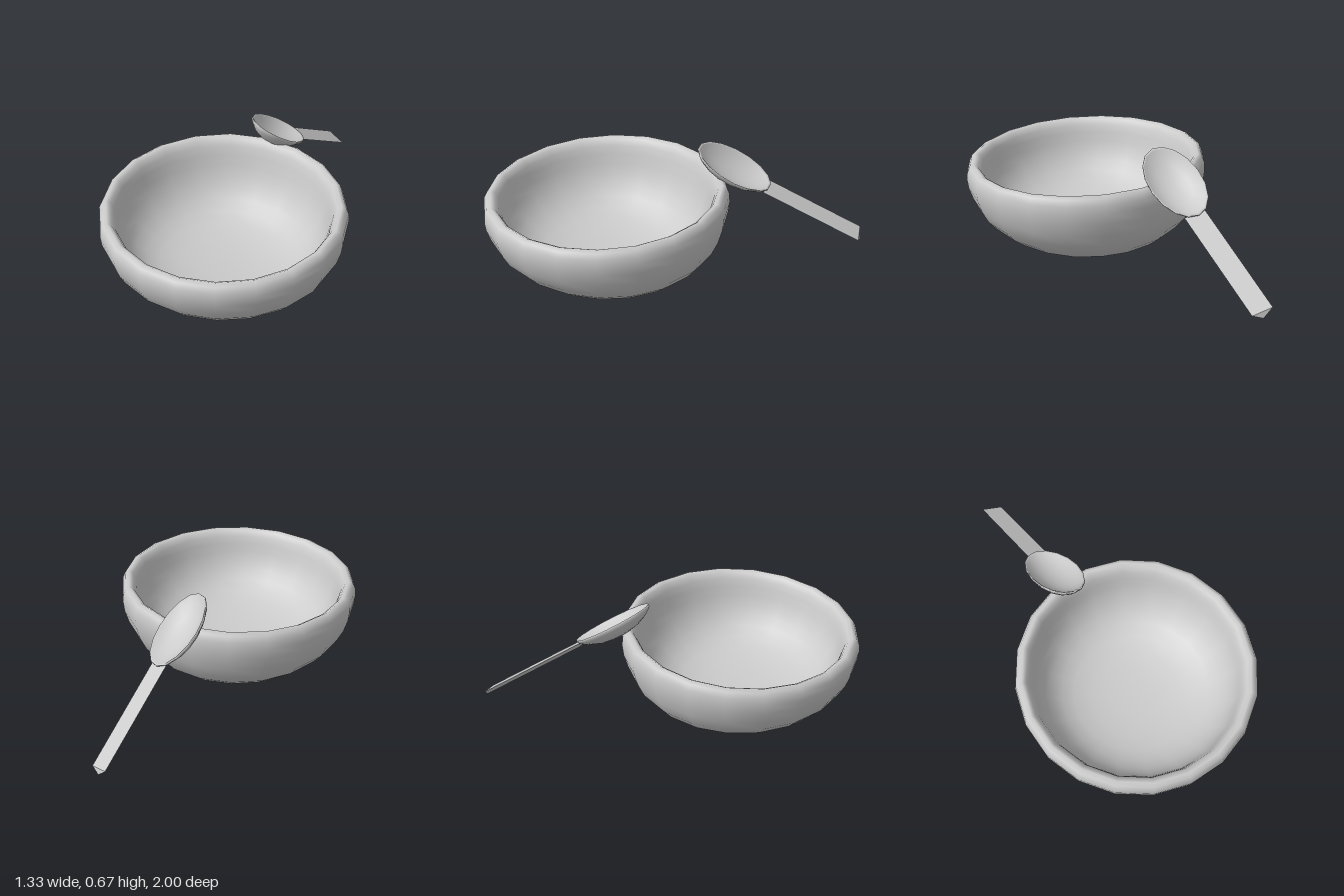
import * as THREE from 'three';
import { mergeVertices } from 'three/addons/utils/BufferGeometryUtils.js';

const material = new THREE.MeshStandardMaterial({ color: 0xcccccc });

// Smooth lathe of [radius, height] points, welded along its seam
function turned(points, sides) {
  const geometry = new THREE.LatheGeometry(points.map(([r, y]) => new THREE.Vector2(r, y)), sides);
  geometry.deleteAttribute('uv');
  geometry.deleteAttribute('normal');
  return mergeVertices(geometry, 1e-5);
}

function addMesh(parent, name, geometry) {
  geometry.computeVertexNormals();
  const mesh = new THREE.Mesh(geometry, material);
  mesh.name = name;
  parent.add(mesh);
  return mesh;
}

export function createModel() {
  const model = new THREE.Group();
  model.name = 'bowlAndSpoon';

  // Bowl: thick round wall with a broad soft lip and a hollow that slopes to the floor
  const bowl = turned([
    [0, 0.008], [0.15, 0.011], [0.28, 0.023], [0.4, 0.053], [0.485, 0.094], [0.55, 0.145],
    [0.603, 0.205], [0.638, 0.275], [0.66, 0.345], [0.667, 0.4], [0.664, 0.445],
    [0.65, 0.477], [0.627, 0.49], [0.604, 0.476], [0.586, 0.445], [0.573, 0.4],
    [0.559, 0.345], [0.54, 0.29], [0.51, 0.235], [0.47, 0.185], [0.415, 0.142],
    [0.345, 0.11], [0.25, 0.088], [0.14, 0.076], [0, 0.073],
  ], 20);
  // Rim and base lean slightly apart
  const p = bowl.attributes.position;
  for (let i = 0; i < p.count; i++) {
    const [x, y, z] = [p.getX(i), p.getY(i), p.getZ(i)];
    const t = y / 0.49;
    p.setY(i, y + t * (0.012 * x - 0.05 * z) + (1 - t) * (0.035 * z - 0.02 * x));
  }
  addMesh(model, 'bowl', bowl).position.z = 0.33;

  const spoon = new THREE.Group();
  spoon.name = 'spoon';
  model.add(spoon);

  // Spoon head: oval dish, tilted along the handle and rolled to one side
  const dish = turned([
    [0, -0.083], [0.3, -0.079], [0.55, -0.067], [0.78, -0.044], [0.93, -0.02], [1, -0.004],
    [0.99, 0.005], [0.94, 0], [0.8, -0.021], [0.55, -0.042], [0.3, -0.053], [0, -0.057],
  ], 16);
  const along = new THREE.Vector3(0.41, -0.5, -0.76).normalize();
  const up = new THREE.Vector3(0.49, 0.82, -0.275);
  up.addScaledVector(along, -up.dot(along)).normalize();
  const side = new THREE.Vector3().crossVectors(along, up);
  dish.applyMatrix4(new THREE.Matrix4().makeBasis(
    along.clone().multiplyScalar(0.235), up, side.multiplyScalar(0.143)));
  dish.translate(0.268, 0.546, -0.33);
  addMesh(spoon, 'spoonHead', dish);

  // Spoon handle: straight three-sided bar, flat on top
  const end = [[0.575, 0.105, -1], [0.655, 0.075, -0.92], [0.618, 0.055, -0.968]];
  const start = end.map(([x, y, z]) => [x - 0.262, y + 0.334, z + 0.483]);
  const corners = [];
  for (let i = 0; i < 3; i++) {
    const j = (i + 1) % 3;
    corners.push(start[i], start[j], end[j], start[i], end[j], end[i]);
  }
  corners.push(start[2], start[1], start[0], end[0], end[1], end[2]);
  const bar = new THREE.BufferGeometry();
  bar.setAttribute('position', new THREE.Float32BufferAttribute(corners.flat(), 3));
  addMesh(spoon, 'spoonHandle', bar);

  return model;
}
